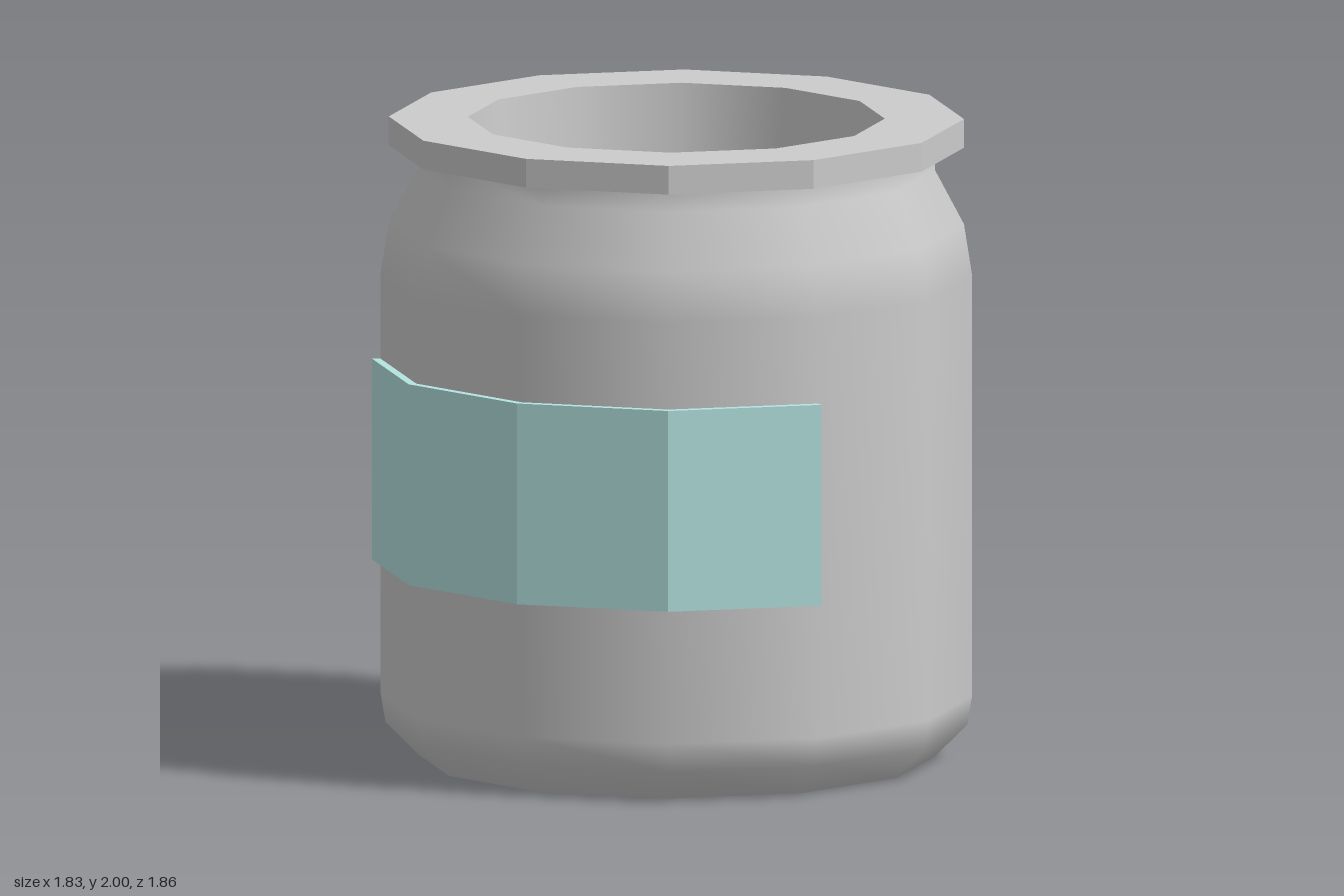
import * as THREE from 'three';

const SIDES = 12;
const CENTER_Z = -0.015;

// Twelve-sided ring surface from [radius, height] pairs
function lathe(name, profile, material) {
  const points = profile.map(([r, y]) => new THREE.Vector2(r, y));
  const mesh = new THREE.Mesh(new THREE.LatheGeometry(points, SIDES), material);
  mesh.name = name;
  return mesh;
}

// Twelve-sided flat disc facing up or down
function disc(name, radius, y, up, material) {
  const geometry = new THREE.CircleGeometry(radius, SIDES);
  geometry.rotateX(up ? -Math.PI / 2 : Math.PI / 2);
  const mesh = new THREE.Mesh(geometry, material);
  mesh.position.y = y;
  mesh.name = name;
  return mesh;
}

export function createModel() {
  const model = new THREE.Group();
  model.name = 'jar';
  const jar = new THREE.Group();
  jar.name = 'jarParts';
  jar.position.z = CENTER_Z;
  model.add(jar);

  const smooth = new THREE.MeshStandardMaterial({ color: 0xcccccc });
  const flat = new THREE.MeshStandardMaterial({ color: 0xcccccc, flatShading: true });
  const liquidMaterial = new THREE.MeshStandardMaterial({ color: 0x0ee90e });
  const labelMaterial = new THREE.MeshStandardMaterial({ color: 0xb4e4e0, flatShading: true });

  // Outer wall: chamfered foot, straight side, shoulder and neck
  jar.add(lathe('body', [
    [0.8, 0], [0.9, 0.1], [0.915, 0.19], [0.915, 1.51],
    [0.89, 1.67], [0.8, 1.84], [0.8, 1.92],
  ], smooth));
  jar.add(disc('base', 0.8, 0, false, smooth));

  // Flat lip around the mouth
  jar.add(lathe('rim', [[0.79, 1.91], [0.89, 1.91], [0.89, 2], [0.645, 2]], flat));

  // Slightly tapered inside wall down to the liquid
  jar.add(lathe('innerWall', [[0.645, 2], [0.612, 1.58]], smooth));
  jar.add(disc('liquid', 0.614, 1.59, true, liquidMaterial));

  // Label wrapped over the four front sides
  const arc = (radius, angles) => angles.map((degrees) => {
    const a = THREE.MathUtils.degToRad(degrees);
    return new THREE.Vector2(radius * Math.sin(a), -radius * Math.cos(a));
  });
  const angles = [-60, -30, 0, 30, 60];
  const outline = [...arc(0.942, angles), ...arc(0.908, [...angles].reverse())];
  const geometry = new THREE.ExtrudeGeometry(new THREE.Shape(outline), {
    depth: 0.63, bevelEnabled: false,
  });
  geometry.rotateX(-Math.PI / 2);
  const label = new THREE.Mesh(geometry, labelMaterial);
  label.position.y = 0.61;
  label.name = 'label';
  jar.add(label);

  return model;
}
